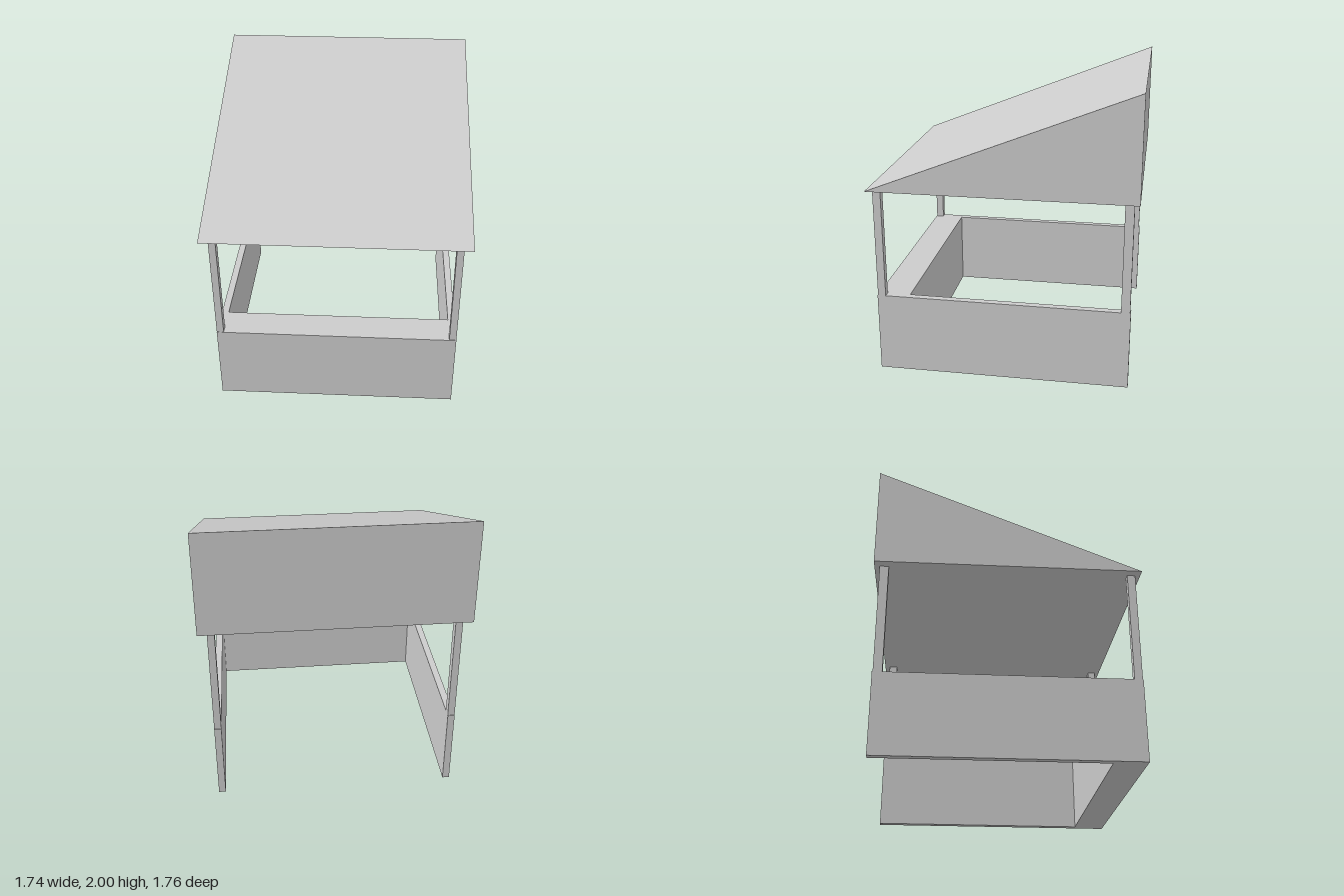
import * as THREE from 'three';

export function createModel() {
  const group = new THREE.Group();
  const material = new THREE.MeshStandardMaterial({ color: 0xcccccc, flatShading: true });

  function add(name, geometry) {
    const mesh = new THREE.Mesh(geometry, material);
    mesh.name = name;
    group.add(mesh);
    return mesh;
  }
  // Box given by its lower and upper bounds
  function box(name, [x0, y0, z0], [x1, y1, z1]) {
    add(name, new THREE.BoxGeometry(x1 - x0, y1 - y0, z1 - z0))
      .position.set((x0 + x1) / 2, (y0 + y1) / 2, (z0 + z1) / 2);
  }

  const wallTop = 0.545, eaves = 1.3, outer = 0.812, inner = 0.765;

  // U-shaped counter, open at the back: deep front, thin sides
  const plan = new THREE.Shape([
    [-outer, -0.85], [outer, -0.85], [outer, 0.85], [inner, 0.85],
    [inner, -0.635], [-inner, -0.635], [-inner, 0.85], [-outer, 0.85],
  ].map(([x, y]) => new THREE.Vector2(x, y)));
  const counter = new THREE.ExtrudeGeometry(plan, { depth: wallTop, bevelEnabled: false });
  counter.rotateX(-Math.PI / 2);
  add('counterWalls', counter);

  // Corner posts from the walls to the roof
  for (const side of [-1, 1]) {
    const x0 = side > 0 ? inner : -outer;
    const x1 = side > 0 ? outer : -inner;
    const name = side > 0 ? 'Left' : 'Right';
    box('frontPost' + name, [x0, wallTop, 0.793], [x1, eaves, 0.846]);
    box('backPost' + name, [x0, wallTop, -0.845], [x1, eaves, -0.786]);
  }

  // Solid wedge roof, sloping down to the front
  const profile = new THREE.Shape([
    new THREE.Vector2(-0.88, eaves), new THREE.Vector2(0.88, eaves), new THREE.Vector2(0.88, 2),
  ]);
  const roof = new THREE.ExtrudeGeometry(profile, { depth: 1.744, bevelEnabled: false });
  roof.translate(0, 0, -0.872);
  roof.rotateY(Math.PI / 2);
  add('roof', roof);

  return group;
}
